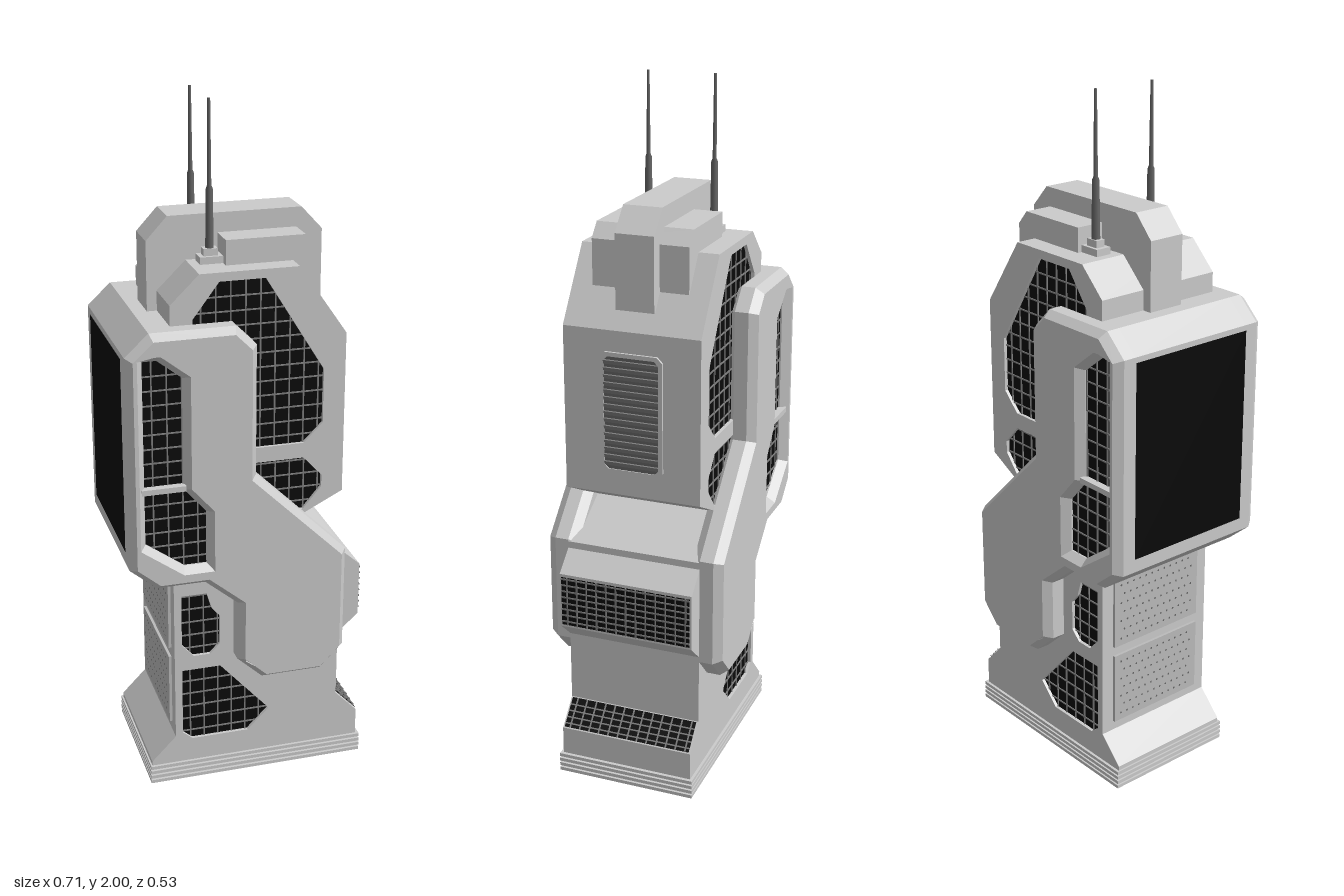
import * as THREE from 'three';
import { mergeGeometries } from 'three/addons/utils/BufferGeometryUtils.js';

const mat = (color) => new THREE.MeshStandardMaterial({ color });
const GREY = mat(0xcccccc), GLASS = mat(0x0a0a0a), BARS = mat(0x808080), PANEL = mat(0xbbbbbb), METAL = mat(0x666666);

const toPoints = (poly) => poly.map(([x, y]) => new THREE.Vector2(x, y));

function mesh(name, geometry, material = GREY) {
  const m = new THREE.Mesh(geometry, material);
  m.name = name;
  return m;
}

// Outline extruded symmetrically about z = 0, with optional holes and bevel
function slab(name, poly, halfDepth, holes = [], bevel = 0) {
  const shape = new THREE.Shape(toPoints(poly));
  shape.holes = holes.map((h) => new THREE.Path(toPoints(h)));
  const thick = bevel ? 0.025 : 0;
  const depth = 2 * (halfDepth - thick);
  const geo = new THREE.ExtrudeGeometry(shape, {
    depth, bevelEnabled: bevel > 0, bevelSize: bevel, bevelOffset: -bevel, bevelThickness: thick, bevelSegments: 1,
  });
  geo.translate(0, 0, -depth / 2);
  return mesh(name, geo);
}

// Sorted positions where a grid line (axis = value) crosses the outline
function crossings(poly, axis, value) {
  const hits = [];
  poly.forEach((a, i) => {
    const b = poly[(i + 1) % poly.length];
    if ((a[axis] > value) !== (b[axis] > value)) {
      const t = (value - a[axis]) / (b[axis] - a[axis]);
      hits.push(a[1 - axis] + t * (b[1 - axis] - a[1 - axis]));
    }
  });
  return hits.sort((p, q) => p - q);
}

// Dark pane facing +z, with thin bars clipped to its outline
function pane(name, poly, stepX, stepY, bar = 0.004) {
  const g = new THREE.Group();
  g.name = name;
  g.add(mesh('glass', new THREE.ShapeGeometry(new THREE.Shape(toPoints(poly))), GLASS));
  const bars = [];
  [stepX, stepY].forEach((step, axis) => {
    if (!step) return;
    const values = poly.map((p) => p[axis]);
    const lo = Math.min(...values), hi = Math.max(...values);
    for (let v = lo + step * 0.6; v < hi - bar; v += step) {
      const c = crossings(poly, axis, v);
      for (let i = 0; i + 1 < c.length; i += 2) {
        const len = c[i + 1] - c[i], mid = (c[i] + c[i + 1]) / 2;
        const box = axis === 0 ? new THREE.BoxGeometry(bar, len, 0.004) : new THREE.BoxGeometry(len, bar, 0.004);
        bars.push(axis === 0 ? box.translate(v, mid, 0.001) : box.translate(mid, v, 0.001));
      }
    }
  });
  if (bars.length) g.add(mesh('bars', mergeGeometries(bars), BARS));
  return g;
}

const rect = (w, h) => [[-w / 2, -h / 2], [w / 2, -h / 2], [w / 2, h / 2], [-w / 2, h / 2]];

function place(object, x, y, z, rotY = 0, rotX = 0) {
  object.position.set(x, y, z);
  object.rotation.set(rotX, rotY, 0, 'YXZ');
  return object;
}

export function createModel() {
  const model = new THREE.Group();
  model.name = 'tower';

  // Same window on the front and, mirrored, on the back
  const windowPair = (poly, z) => {
    model.add(place(pane('frontWindow', poly, 0.042, 0.042), 0, 0, z));
    const back = poly.map(([x, y]) => [-x, y]);
    model.add(place(pane('backWindow', back, 0.042, 0.042), 0, 0, -z, Math.PI));
  };

  // Main body with window openings
  const bodyWindows = [
    [[-0.16, 1.435], [-0.085, 1.535], [0.045, 1.535], [0.215, 1.26], [0.215, 1.1], [0.16, 1.045], [-0.03, 1.045], [-0.16, 1.2]],
    [[-0.03, 1.0], [0.16, 1.0], [0.215, 0.94], [0.215, 0.905], [0.16, 0.84], [-0.03, 0.84]],
    [[-0.2, 0.61], [-0.125, 0.61], [-0.11, 0.56], [-0.085, 0.53], [-0.085, 0.44], [-0.115, 0.41], [-0.165, 0.41], [-0.2, 0.45]],
    [[-0.2, 0.365], [-0.085, 0.365], [0.065, 0.195], [0, 0.13], [-0.17, 0.13], [-0.2, 0.155]],
  ];
  model.add(slab('body', [
    [-0.295, 0], [0.345, 0], [0.345, 0.14], [0.278, 0.21], [0.278, 0.42], [0.34, 0.475], [0.34, 0.64], [0.278, 0.695],
    [0.278, 0.715], [0.12, 0.805], [0.278, 0.885], [0.278, 1.36], [0.14, 1.56], [-0.14, 1.56], [-0.222, 1.48],
    [-0.222, 0.145], [-0.295, 0.07],
  ], 0.2, bodyWindows));
  bodyWindows.forEach((w) => windowPair(w, 0.19));

  // Bent plates on front and back
  const plate = [
    [-0.357, 0.735], [-0.28, 0.67], [-0.14, 0.67], [-0.045, 0.59], [-0.045, 0.405], [0.03, 0.335], [0.21, 0.335],
    [0.278, 0.405], [0.278, 0.72], [0.008, 0.985], [0.008, 1.365], [-0.05, 1.423], [-0.29, 1.423], [-0.357, 1.36],
  ];
  const plateWindows = [
    [[-0.31, 1.345], [-0.27, 1.345], [-0.2, 1.29], [-0.2, 0.965], [-0.135, 0.89], [-0.135, 0.73], [-0.2, 0.73], [-0.31, 0.81]],
    [[0.115, 0.735], [0.235, 0.46], [0.155, 0.375], [0.045, 0.375], [-0.008, 0.415], [-0.002, 0.61]],
  ];
  for (const s of [1, -1]) {
    model.add(place(slab(s > 0 ? 'frontPlate' : 'backPlate', plate, 0.045, plateWindows, 0.018), 0, 0, s * 0.22));
    const divider = mesh('windowDivider', new THREE.BoxGeometry(0.125, 0.016, 0.03));
    model.add(place(divider, -0.258, 0.973, s * 0.243));
  }
  plateWindows.forEach((w) => windowPair(w, 0.235));

  // Block joining the plates along the right side, with its large dark panel
  model.add(slab('sideBlock', [
    [-0.357, 0.735], [-0.28, 0.67], [-0.2, 0.67], [-0.2, 1.423], [-0.29, 1.423], [-0.357, 1.36],
  ], 0.2));
  model.add(place(pane('sidePanel', rect(0.4, 0.57), 0, 0), -0.359, 1.06, 0, -Math.PI / 2));

  // Perforated panels below the side block
  for (const y of [0.285, 0.535]) {
    const g = new THREE.Group();
    g.name = 'perforatedPanel';
    g.add(mesh('panel', new THREE.BoxGeometry(0.32, 0.22, 0.012), PANEL));
    const dots = [];
    for (let i = 0; i < 12; i++) {
      for (let j = 0; j < 7; j++) {
        dots.push(new THREE.CircleGeometry(0.0035, 6).translate(-0.137 + i * 0.0235 + (j % 2) * 0.012, -0.087 + j * 0.029, 0.007));
      }
    }
    g.add(mesh('holes', mergeGeometries(dots), METAL));
    model.add(place(g, -0.224, y, 0, -Math.PI / 2));
  }

  // Slatted vents on the left side: bulge face and sloped base
  model.add(place(pane('bulgeVent', rect(0.39, 0.15), 0.03, 0.019), 0.342, 0.557, 0, Math.PI / 2));
  const slope = -Math.atan2(0.067, 0.07);
  model.add(place(pane('baseVent', rect(0.39, 0.09), 0.03, 0.019), 0.3135, 0.177, 0, Math.PI / 2, slope));

  // Framed louvre on the upper left side
  const octagon = (w, h, c) => [
    [-w + c, -h], [w - c, -h], [w, -h + c], [w, h - c], [w - c, h], [-w + c, h], [-w, h - c], [-w, -h + c],
  ];
  const louvre = new THREE.Group();
  louvre.name = 'sideLouvre';
  louvre.add(slab('frame', octagon(0.092, 0.175, 0.016), 0.005, [octagon(0.08, 0.163, 0.012)]));
  const backing = mesh('backing', new THREE.BoxGeometry(0.165, 0.33, 0.004), METAL);
  louvre.add(backing);
  for (let i = 0; i < 15; i++) {
    const slat = mesh('slat', new THREE.BoxGeometry(0.16, 0.013, 0.004), BARS);
    louvre.add(place(slat, 0, -0.147 + i * 0.021, 0.003, 0, 0.4));
  }
  model.add(place(louvre, 0.28, 1.125, 0, Math.PI / 2));

  // Ribbed plinth
  for (let i = 0; i < 4; i++) {
    const rib = mesh('baseRib', new THREE.BoxGeometry(0.655, 0.01, 0.416));
    model.add(place(rib, 0.0275, 0.005 + i * 0.0155, 0));
  }

  // Roof fin and stepped roof block
  model.add(slab('roofFin', [
    [-0.25, 1.41], [0.25, 1.41], [0.25, 1.62], [0.19, 1.685], [-0.19, 1.685], [-0.25, 1.62],
  ], 0.056));
  model.add(slab('roofBlock', [[-0.05, 1.46], [0.21, 1.46], [0.21, 1.59], [0.175, 1.63], [-0.05, 1.63]], 0.14));

  // Two antennas on stepped feet
  for (const z of [0.092, -0.104]) {
    const g = new THREE.Group();
    g.name = 'antenna';
    g.add(place(mesh('foot', new THREE.BoxGeometry(0.065, 0.02, 0.047)), 0, 0.01, 0));
    g.add(place(mesh('collar', new THREE.BoxGeometry(0.04, 0.02, 0.028)), 0, 0.03, 0));
    const profile = [[0.012, 0.03], [0.01, 0.2], [0.006, 0.21], [0.004, 0.44], [0, 0.44]];
    const mast = mesh('mast', new THREE.LatheGeometry(toPoints(profile), 8), METAL);
    g.add(mast);
    model.add(place(g, -0.082, 1.56, z));
  }
  return model;
}
